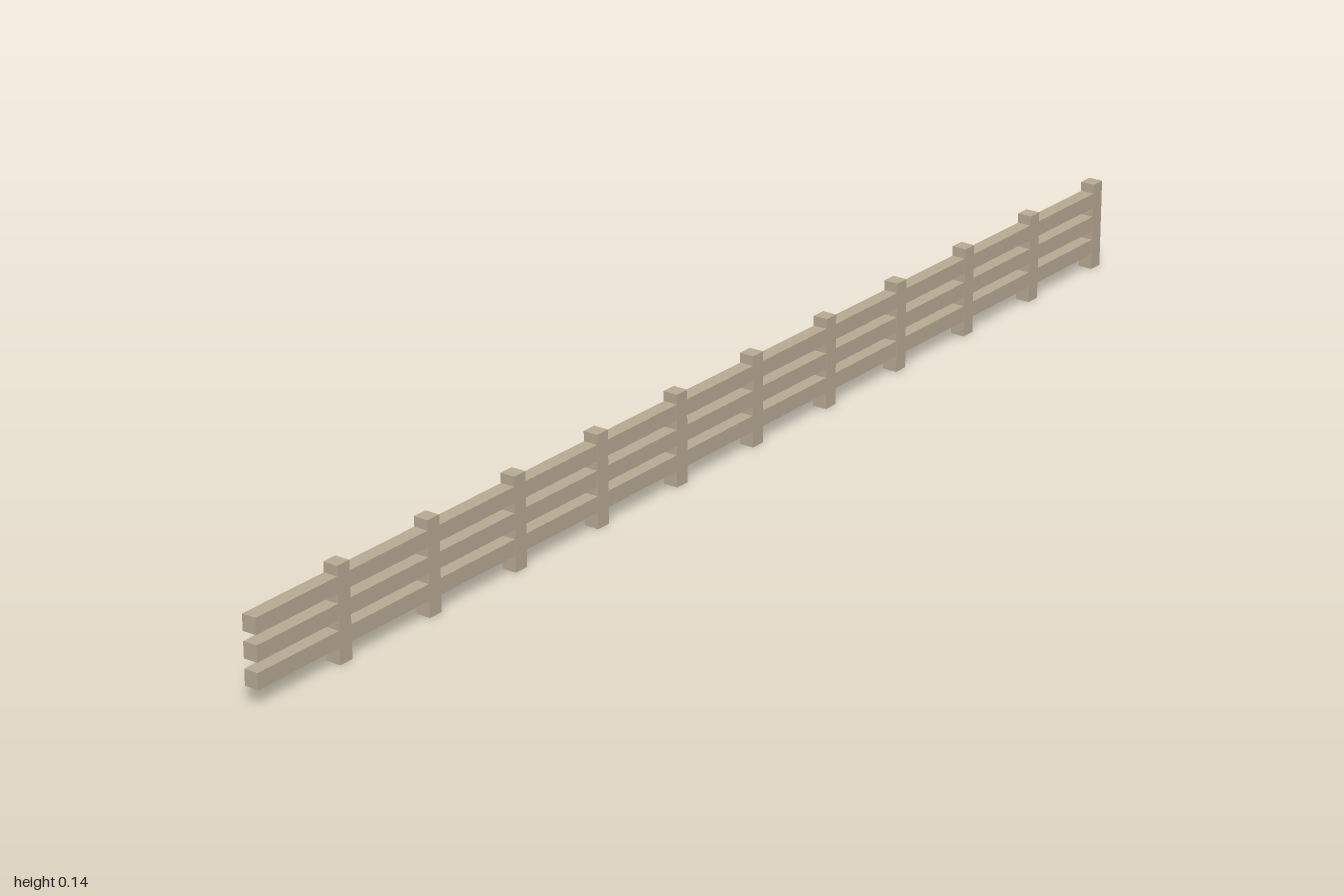
import * as THREE from 'three';

export function createModel() {
  const fence = new THREE.Group();
  fence.name = 'fence';
  const wood = new THREE.MeshStandardMaterial({ color: 0xb8aa94 });
  wood.name = 'weathered wood';

  const addBeam = (name, w, h, d, y, z) => {
    const mesh = new THREE.Mesh(new THREE.BoxGeometry(w, h, d), wood);
    mesh.name = name;
    mesh.position.set(0, y, z);
    fence.add(mesh);
  };

  // Evenly spaced posts, starting flush with the back end
  const postHeight = 0.141, postDepth = 0.024, spacing = 0.1818;
  for (let i = 0; i < 11; i++) {
    addBeam(`post${i + 1}`, 0.0235, postHeight, postDepth,
      postHeight / 2, -1 + postDepth / 2 + i * spacing);
  }

  // Three long rails, open past the last post at the front end
  const railStart = -1 + postDepth / 2;
  ['lowerRail', 'middleRail', 'upperRail'].forEach((name, i) => {
    addBeam(name, 0.0225, 0.024, 1 - railStart, 0.037 + i * 0.0385, (1 + railStart) / 2);
  });

  return fence;
}
